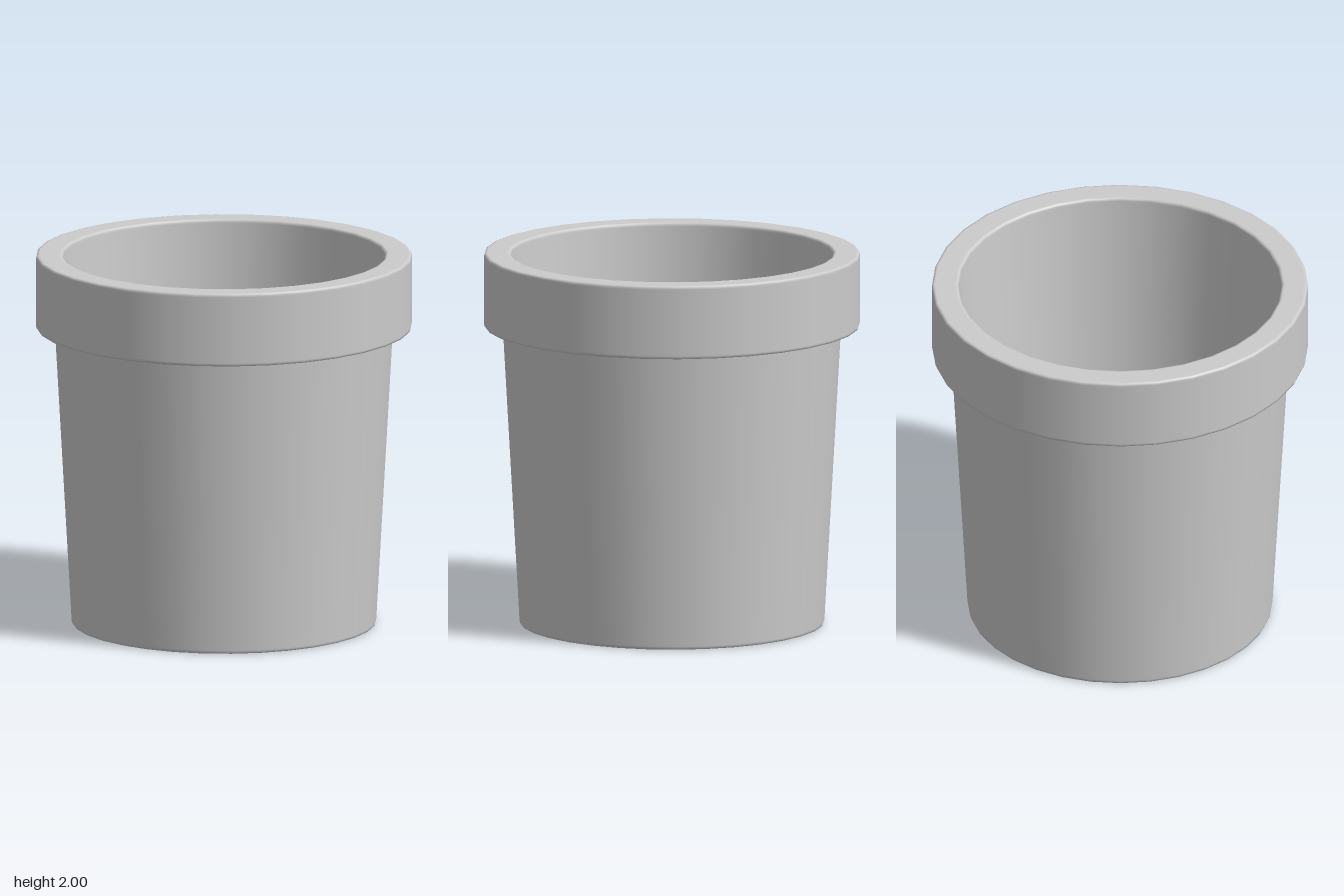
import * as THREE from 'three';

const SEGMENTS = 32;
const BEVEL = 0.012;

// Replaces each inner corner of a profile with a small rounded bevel
function bevelProfile(corners) {
  const points = corners.map(([x, y]) => new THREE.Vector2(x, y));
  return points.flatMap((p, i) => {
    if (i === 0 || i === points.length - 1) return [p];
    const toward = (q, d) => p.clone().add(q.clone().sub(p).setLength(d));
    const a = toward(points[i - 1], BEVEL);
    const b = toward(points[i + 1], BEVEL);
    const mid = a.clone().add(b).multiplyScalar(0.25).addScaledVector(p, 0.5);
    // Outer support points keep the long faces evenly shaded
    return [toward(points[i - 1], BEVEL * 1.6), a, mid, b, toward(points[i + 1], BEVEL * 1.6)];
  });
}

function turned(name, corners, material) {
  const mesh = new THREE.Mesh(new THREE.LatheGeometry(bevelProfile(corners), SEGMENTS), material);
  mesh.name = name;
  return mesh;
}

export function createModel() {
  const group = new THREE.Group();
  group.name = 'flowerPot';
  const clay = new THREE.MeshStandardMaterial({ color: 0xcccccc });

  // Flat base and tapered outer wall, ending under the collar
  group.add(turned('body', [[0, 0], [0.81, 0], [0.9, 1.605]], clay));

  // Overhanging collar with a flat lip
  group.add(turned('rim', [[0.895, 1.605], [1, 1.605], [1, 2], [0.86, 2], [0.857, 1.95]], clay));

  // Hollow inside, with the wall tapering down to the floor
  group.add(turned('interior', [[0.857, 1.95], [0.75, 0.2], [0, 0.2]], clay));

  return group;
}
